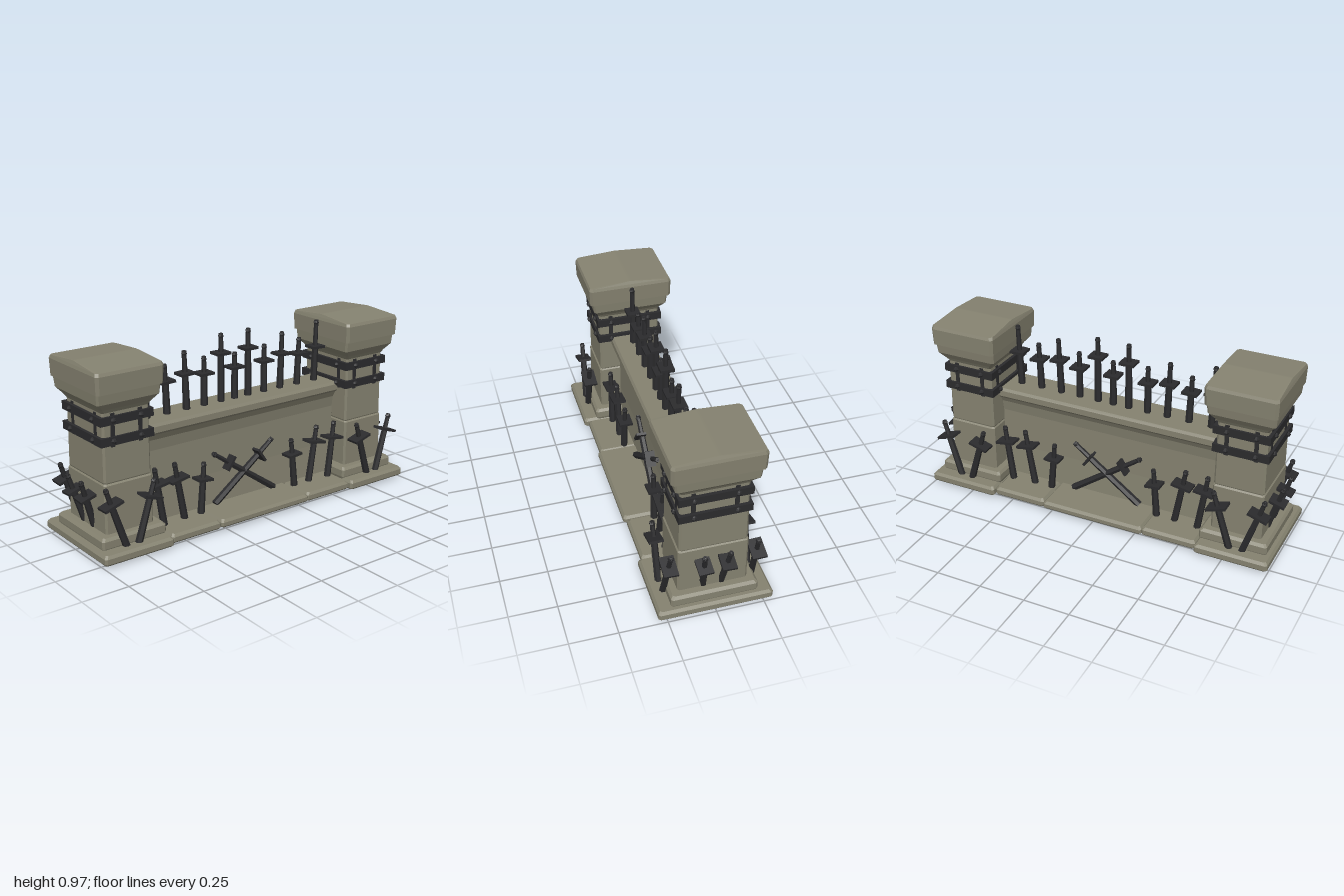
import * as THREE from 'three';

const stone = new THREE.MeshStandardMaterial({ color: 0x858270 });
stone.name = 'stone';
const iron = new THREE.MeshStandardMaterial({ color: 0x2b2b2d, flatShading: true });
iron.name = 'iron';

// Closed solid through chamfered rectangles [halfX, halfZ, y]
function loft(name, rings, chamfer = 0.01) {
  const loops = rings.map(([hx, hz, y]) => {
    const c = Math.min(chamfer, hx * 0.9, hz * 0.9);
    return [[hx - c, hz], [hx, hz - c], [hx, c - hz], [hx - c, -hz],
      [c - hx, -hz], [-hx, c - hz], [-hx, hz - c], [c - hx, hz]].map(([x, z]) => [x, y, z]);
  });
  const pos = [], n = 8;
  const tri = (a, b, c) => pos.push(...a, ...b, ...c);
  for (let r = 0; r < loops.length - 1; r++) {
    for (let i = 0; i < n; i++) {
      const j = (i + 1) % n, lo = loops[r], hi = loops[r + 1];
      tri(lo[i], lo[j], hi[j]);
      tri(lo[i], hi[j], hi[i]);
    }
  }
  const first = loops[0], last = loops[loops.length - 1];
  for (let i = 1; i < n - 1; i++) {
    tri(first[0], first[i + 1], first[i]);
    tri(last[0], last[i], last[i + 1]);
  }
  const g = new THREE.BufferGeometry();
  g.setAttribute('position', new THREE.Float32BufferAttribute(pos, 3));
  g.computeVertexNormals();
  const m = new THREE.Mesh(g, stone);
  m.name = name;
  return m;
}

// Ground slab, hollowed from below
function slab(name, x, hx, hz, y0, y1) {
  const t = 0.022;
  const m = loft(name, [
    [hx - t, hz - t, y1 - 0.012], [hx - t, hz - t, y0], [hx - 0.006, hz - 0.006, y0],
    [hx, hz, y0 + 0.008], [hx, hz, y1 - 0.014], [hx - 0.012, hz - 0.012, y1]]);
  m.position.x = x;
  return m;
}

function part(name, geo, x, y, z) {
  const m = new THREE.Mesh(geo, iron);
  m.name = name;
  m.position.set(x, y, z);
  return m;
}

// Sword from its tip to its pommel; hilt is the length above the guard
function sword(name, tip, top, hilt = 0.09, guardWidth = 0.11) {
  const a = new THREE.Vector3(...tip), d = new THREE.Vector3(...top).sub(a);
  const len = d.length(), blade = len - hilt;
  const g = new THREE.Group();
  g.name = name;
  g.add(part('blade', new THREE.CylinderGeometry(0.017, 0.02, blade, 6), 0, blade / 2, 0));
  g.add(part('guard', new THREE.BoxGeometry(guardWidth, 0.014, 0.075), 0, blade, 0));
  g.add(part('grip', new THREE.CylinderGeometry(0.012, 0.014, hilt, 6), 0, blade + hilt / 2, 0));
  g.add(part('pommel', new THREE.SphereGeometry(0.016, 6, 4), 0, len - 0.014, 0));
  g.position.copy(a);
  g.quaternion.setFromUnitVectors(new THREE.Vector3(0, 1, 0), d.normalize());
  return g;
}

function pillar(s) {
  const g = new THREE.Group();
  g.name = s > 0 ? 'leftPillar' : 'rightPillar';
  g.add(loft('plinth', [[0.18, 0.22, 0.06], [0.185, 0.225, 0.075], [0.185, 0.225, 0.112], [0.172, 0.212, 0.126]]));
  g.add(loft('lowerShaft', [[0.138, 0.18, 0.11], [0.138, 0.18, 0.378], [0.13, 0.17, 0.388]]));
  g.add(loft('upperShaft', [[0.13, 0.17, 0.38], [0.135, 0.175, 0.392], [0.132, 0.172, 0.75]]));
  g.add(loft('capital', [[0.133, 0.172, 0.745], [0.145, 0.184, 0.765], [0.176, 0.208, 0.8], [0.181, 0.215, 0.86]]));
  g.add(loft('cap', [[0.187, 0.23, 0.855], [0.19, 0.233, 0.945], [0.185, 0.226, 0.961], [0.178, 0.004, 0.978]], 0.014));

  // Iron bands with rivets, joined by narrow straps
  for (const y of [0.602, 0.706]) {
    g.add(part('band', new THREE.BoxGeometry(0.3, 0.043, 0.37), 0, y, 0));
    for (const k of [-1, 1]) for (const e of [-1, 1]) {
      const rivet = new THREE.SphereGeometry(0.015, 6, 4);
      g.add(part('rivet', rivet, k * 0.15, y, e * 0.108));
      g.add(part('rivet', rivet, k * 0.078, y, e * 0.185));
    }
  }
  for (const k of [-1, 1]) for (const e of [-1, 1]) {
    g.add(part('strap', new THREE.BoxGeometry(0.008, 0.17, 0.022), k * 0.133, 0.655, e * 0.108));
    g.add(part('strap', new THREE.BoxGeometry(0.022, 0.17, 0.008), k * 0.078, 0.655, e * 0.173));
  }
  g.position.x = s * 0.785;
  return g;
}

export function createModel() {
  const model = new THREE.Group();
  model.name = 'swordWall';

  // Wall between the pillars
  model.add(loft('wall', [[0.65, 0.075, 0.03], [0.65, 0.062, 0.24], [0.65, 0.06, 0.45],
    [0.65, 0.07, 0.51], [0.65, 0.092, 0.552]], 0.002));
  model.add(loft('coping', [[0.645, 0.1, 0.548], [0.645, 0.11, 0.56], [0.645, 0.11, 0.592], [0.645, 0.1, 0.606]], 0.002));
  model.add(slab('centreSlab', -0.005, 0.295, 0.29, 0.03, 0.072));

  for (const s of [-1, 1]) {
    model.add(pillar(s));
    model.add(slab('pillarSlab', s * 0.8, 0.2, 0.297, 0.02, 0.07));
    model.add(slab('sideSlab', s * 0.447, 0.153, 0.275, 0.022, 0.068));

    for (const f of [-1, 1]) {
      // Swords planted around the pillar
      model.add(sword('pillarSword', [s * 0.825, 0.01, f * 0.235], [s * 0.945, 0.385, f * 0.222]));
      model.add(sword('pillarSword', [s * 0.79, 0.01, f * 0.235], [s * 0.675, 0.385, f * 0.24]));
      model.add(sword('pillarSideSword', [s * 0.875, 0.01, f * 0.038], [s * 0.99, 0.385, f * 0.066], 0.09, 0.09));

      // Swords planted along the wall
      model.add(sword('wallSword', [s * 0.55, 0.01, f * 0.14], [s * 0.605, 0.385, f * 0.13]));
      model.add(sword('wallSword', [s * 0.415, 0.01, f * 0.13], [s * 0.48, 0.385, f * 0.125]));
      model.add(sword('wallSword', [s * 0.325, 0.01, f * 0.13], [s * 0.295, 0.345, f * 0.125], 0.09, 0.085));

      // Crossed pair
      model.add(sword('crossedSword', [-s * 0.2, 0.075, f * 0.09], [s * 0.2, 0.355, f * 0.075], 0.12, 0.085));
    }
  }

  // Row of swords on the coping: x, top, guard height
  const row = [[0, 0.86, 0.78], [0.09, 0.975, 0.87], [0.2, 0.87, 0.78],
    [0.318, 0.92, 0.8], [0.44, 0.87, 0.78], [0.565, 0.95, 0.8]];
  for (const [x, top, guard] of row) {
    for (const s of x ? [-1, 1] : [1]) {
      const lean = x > 0.3 ? 0.006 : 0;
      model.add(sword('topSword', [s * (x - lean), 0.58, 0], [s * (x + lean), top, 0], top - guard, 0.085));
    }
  }
  return model;
}
